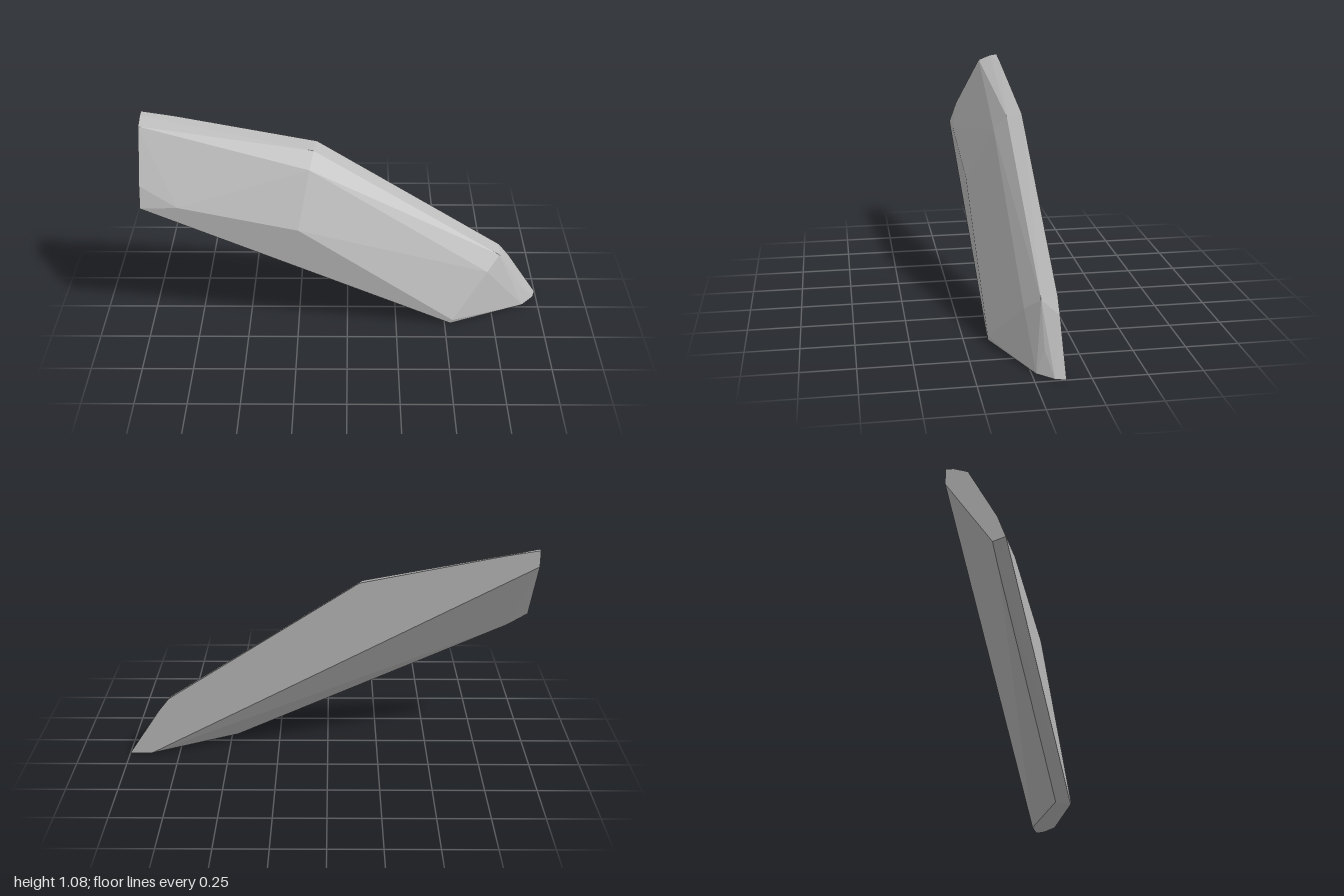
import * as THREE from 'three';
import { ConvexGeometry } from 'three/addons/geometries/ConvexGeometry.js';

export function createModel() {
  const stone = new THREE.MeshStandardMaterial({ color: 0xb8b8b8 });
  stone.name = 'grey stone';

  // Corner points of the faceted slab, grouped by the edge they sit on
  const corners = {
    back: [[-1, 1.08, -0.138], [-0.84, 1.054, -0.138], [-0.15, 0.917, -0.138], [0.79, 0.305, -0.138],
      [0.845, 0.235, -0.138], [1, 0, -0.138], [0.89, 0, -0.138], [-1, 1, -0.138]],
    ridge: [[-1, 1.075, -0.1], [-1, 1.05, -0.035], [-0.82, 1.025, -0.06], [-0.165, 0.903, -0.063],
      [0.785, 0.287, -0.065]],
    shoulder: [[-1, 0.8, 0.1], [-0.185, 0.83, 0], [0.72, 0.225, 0]],
    front: [[-1, 0.695, 0.138], [-0.82, 0.7, 0.138], [-0.24, 0.57, 0.138], [0.54, 0.02, 0.138]],
    underside: [[-1, 0.677, 0.08], [-0.9, 0.617, 0.08], [0.47, 0, 0.07], [0.53, 0, 0.138]],
    tip: [[0.92, 0, -0.02], [0.9, 0.1, -0.06], [0.985, 0, -0.09]],
  };
  const points = Object.values(corners).flat().map((p) => new THREE.Vector3(...p));

  const slab = new THREE.Mesh(new ConvexGeometry(points), stone);
  slab.name = 'slab';

  const group = new THREE.Group();
  group.name = 'bent stone slab';
  group.add(slab);
  return group;
}
